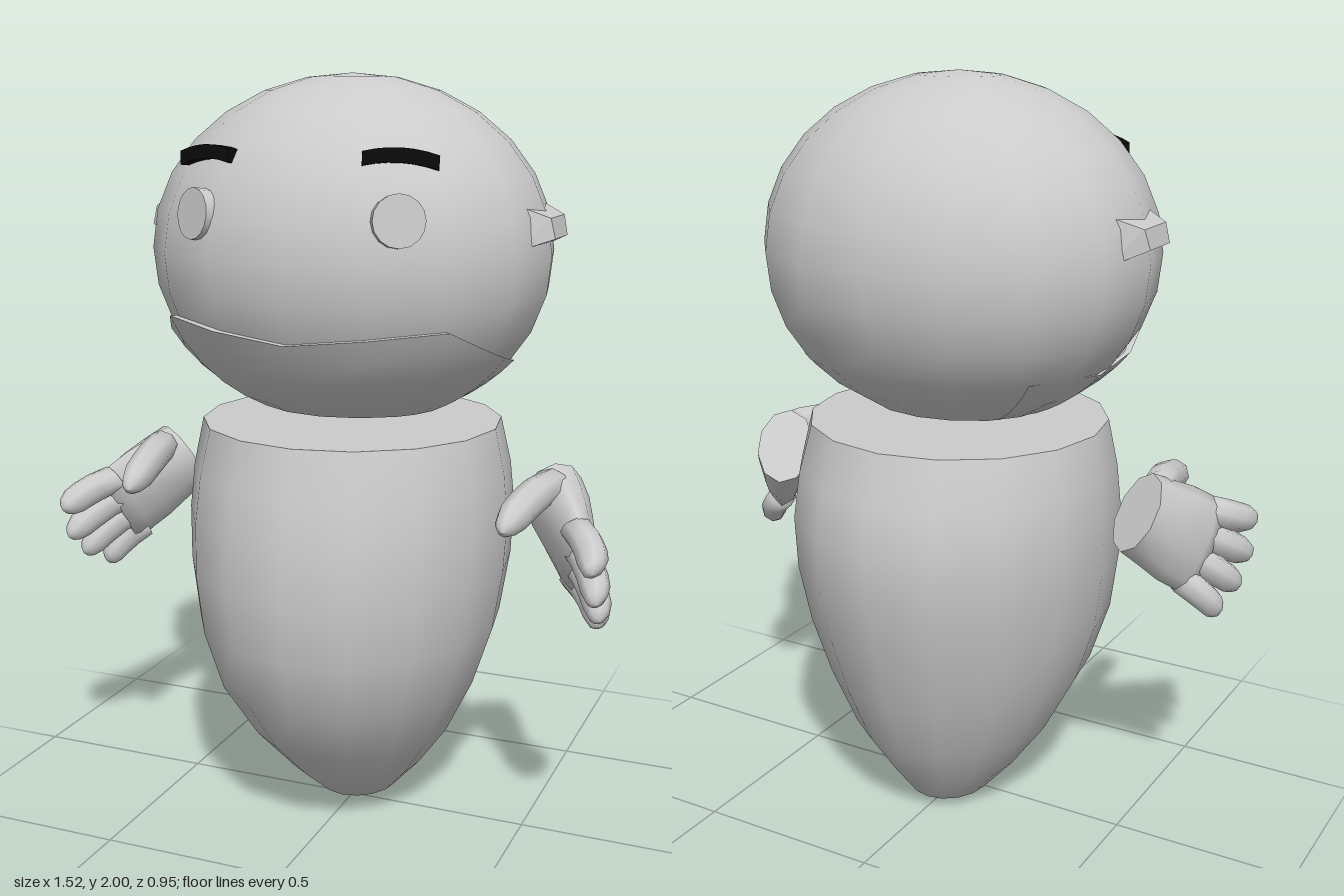
import * as THREE from 'three';
import { ConvexGeometry } from 'three/addons/geometries/ConvexGeometry.js';

const V = (x, y, z) => new THREE.Vector3(x, y, z);
const grey = new THREE.MeshStandardMaterial({ color: 0xcccccc });
const thin = new THREE.MeshStandardMaterial({ color: 0xcccccc, side: THREE.DoubleSide });
const flat = new THREE.MeshStandardMaterial({ color: 0xcccccc, flatShading: true });
const black = new THREE.MeshStandardMaterial({ color: 0x0a0a0a });

function mesh(name, geometry, material = grey) {
  const m = new THREE.Mesh(geometry, material);
  m.name = name;
  return m;
}

// Skin a stack of point rings; a repeated ring gives a sharp edge
function skin(rings, closed = true) {
  const n = rings[0].length, index = [];
  for (let i = 0; i < rings.length - 1; i++) {
    for (let j = 0; j < (closed ? n : n - 1); j++) {
      const k = (j + 1) % n;
      const a = i * n + j, b = i * n + k, c = b + n, d = a + n;
      index.push(a, b, c, a, c, d);
    }
  }
  const g = new THREE.BufferGeometry().setFromPoints(rings.flat());
  g.setIndex(index);
  g.computeVertexNormals();
  return g;
}

// Elliptical ring about centre c, spanned by axes p and q
function ring(c, p, q, rp, rq, sides) {
  return Array.from({ length: sides }, (_, i) => {
    const a = (i / sides) * Math.PI * 2;
    return c.clone().addScaledVector(p, Math.cos(a) * rp).addScaledVector(q, Math.sin(a) * rq);
  });
}

const X = V(1, 0, 0), Z = V(0, 0, 1);
const level = (y, rx, rz, z = 0) => ring(V(0, y, z), Z, X, rz, rx, 16);

// Head: ellipsoid with its underside cut flat
const HEAD = { y: 1.55, rx: 0.535, ry: 0.45, rz: 0.458 };
const girth = (y) => Math.sqrt(Math.max(0, 1 - ((y - HEAD.y) / HEAD.ry) ** 2));

function headGeometry() {
  const low = Math.asin((1.15 - HEAD.y) / HEAD.ry), rings = [];
  for (let i = 0; i <= 12; i++) {
    const t = low + (Math.PI / 2 - low) * (i / 12);
    const y = HEAD.y + HEAD.ry * Math.sin(t);
    rings.push(level(y, HEAD.rx * Math.cos(t), HEAD.rz * Math.cos(t)));
  }
  return skin([level(1.15, 0, 0), rings[0], ...rings]);
}

// Jaw: shell hugging the lower head, its rim rising to the mouth corners
function jawGeometry() {
  const half = [[0, 1.365], [23, 1.385], [46, 1.4], [60, 1.35], [76, 1.31], [97, 1.28], [130, 1.283]];
  const rim = [...half.slice(1).reverse().map(([a, y]) => [-a, y]), ...half];
  const row = (t, grow) => rim.map(([deg, top]) => {
    const a = THREE.MathUtils.degToRad(deg), y = 1.15 + (top - 1.15) * t;
    const f = girth(y) * (1 + grow * (1 - Math.abs(deg) / 130));
    return V(Math.sin(a) * HEAD.rx * f, y, Math.cos(a) * HEAD.rz * f);
  });
  const outer = [0, 0.12, 0.28, 0.5, 0.75, 1].map((t) => row(t, 0.055));
  return skin([...outer, outer[5], row(1, -0.03)], false);
}

// Body: rounded egg cut flat on top; rows are y, half width, half depth, z shift
function bodyGeometry() {
  const rows = [
    [0.008, 0.06, 0.06, -0.06], [0.03, 0.11, 0.125, -0.05], [0.12, 0.19, 0.21, -0.03],
    [0.24, 0.275, 0.31, -0.01], [0.4, 0.355, 0.4, 0.015], [0.56, 0.407, 0.448, 0.015],
    [0.72, 0.43, 0.475, 0.004], [0.86, 0.436, 0.47, -0.005], [0.98, 0.425, 0.445, -0.004], [1.105, 0.4, 0.4, 0],
  ].map(([y, rx, rz, z]) => level(y, rx, rz, z));
  return skin([level(0, 0, 0, -0.06), ...rows, rows.at(-1), level(1.105, 0, 0)]);
}

// Hand axes: d along the fingers, u from thumb to little finger, n out of its back
const d = V(0.48, -0.53, 0.7).normalize();
const u = V(-0.15, -0.84, -0.52).projectOnPlane(d).normalize();
const n = d.clone().cross(u);

function hand(side) {
  const g = new THREE.Group();
  g.name = side > 0 ? 'leftHand' : 'rightHand';
  const add = (name, rings) => {
    if (side < 0) rings = rings.map((r) => r.map((p) => V(-p.x, p.y, p.z)).reverse());
    g.add(mesh(name, skin(rings)));
  };
  // Rounded digit through a quadratic curve from a to b, bowed by bend
  const digit = (name, a, b, bend, r, p, q) => {
    const curve = new THREE.QuadraticBezierCurve3(a, a.clone().lerp(b, 0.5).add(bend), b);
    const profile = [[0, 0], [0, 1], [0.3, 1.02], [0.55, 1], [0.75, 0.95], [0.9, 0.7], [0.97, 0.4], [1, 0]];
    add(name, profile.map(([t, k]) => ring(curve.getPoint(t), p, q, r * k, r * k, 8)));
  };

  // Palm with a flat wrist end
  const wrist = V(0.545, 0.94, -0.05);
  const palm = [[0, 0.108, 0.078], [0.07, 0.118, 0.078], [0.14, 0.13, 0.066], [0.21, 0.132, 0.052], [0.25, 0.115, 0.035]]
    .map(([t, w, h]) => ring(wrist.clone().addScaledVector(d, t), u, n, w, h, 10));
  const end = wrist.clone().addScaledVector(d, 0.25);
  add('palm', [ring(wrist, u, n, 0, 0, 10), palm[0], ...palm, ring(end, u, n, 0, 0, 10)]);

  // Four fingers, index to little
  const tips = [V(0.735, 0.84, 0.295), V(0.74, 0.755, 0.265), V(0.735, 0.69, 0.2), V(0.715, 0.645, 0.115)];
  tips.forEach((tip, i) => {
    const base = V(0.655, 0.905, 0.145).lerp(V(0.63, 0.745, 0.045), i / 3);
    digit('finger', base, tip, n.clone().multiplyScalar(0.03), 0.041 - i * 0.001, u, n);
  });

  // Thumb, pointing forward
  const td = V(-0.1, -0.3, 0.9).normalize();
  const tp = X.clone().projectOnPlane(td).normalize();
  digit('thumb', V(0.565, 0.985, 0.03), V(0.515, 0.925, 0.315), V(-0.01, 0.025, 0), 0.044, tp, td.clone().cross(tp));
  return g;
}

// Ear: wedge-sided stub
function earGeometry(s) {
  return new ConvexGeometry([
    V(0.47, 1.575, 0.12), V(0.47, 1.565, -0.13), V(0.46, 1.69, -0.12), V(0.46, 1.69, 0.1),
    V(0.557, 1.605, 0.06), V(0.557, 1.605, -0.06), V(0.545, 1.655, -0.07), V(0.545, 1.655, 0.06),
  ].map((p) => V(p.x * s, p.y, p.z)));
}

// Brow: bar bent into a shallow arch
function browGeometry() {
  const g = new THREE.BoxGeometry(0.18, 0.034, 0.032, 6, 1, 1);
  const p = g.attributes.position;
  for (let i = 0; i < p.count; i++) p.setY(i, p.getY(i) - 1.6 * p.getX(i) ** 2);
  g.computeVertexNormals();
  return g;
}

export function createModel() {
  const model = new THREE.Group();
  model.name = 'figure';
  model.add(mesh('body', bodyGeometry()), mesh('head', headGeometry()), mesh('jaw', jawGeometry(), thin));

  for (const s of [1, -1]) {
    model.add(hand(s), mesh('ear', earGeometry(s), flat));

    // Eye disc, the left one standing out a little further
    const disc = new THREE.CylinderGeometry(0.063, 0.063, 0.04, 16).rotateX(Math.PI / 2);
    const eye = mesh('eye', disc);
    eye.position.set(s > 0 ? 0.27 : -0.25, 1.665, s > 0 ? 0.386 : 0.378);
    eye.rotation.set(-0.12, s * 0.5, 0, 'YXZ');
    model.add(eye);

    const brow = mesh('brow', browGeometry(), black);
    brow.position.set(s * 0.25, 1.811, 0.316);
    brow.rotation.set(-0.1, s * 0.4, s * -0.06, 'YXZ');
    model.add(brow);
  }
  return model;
}
